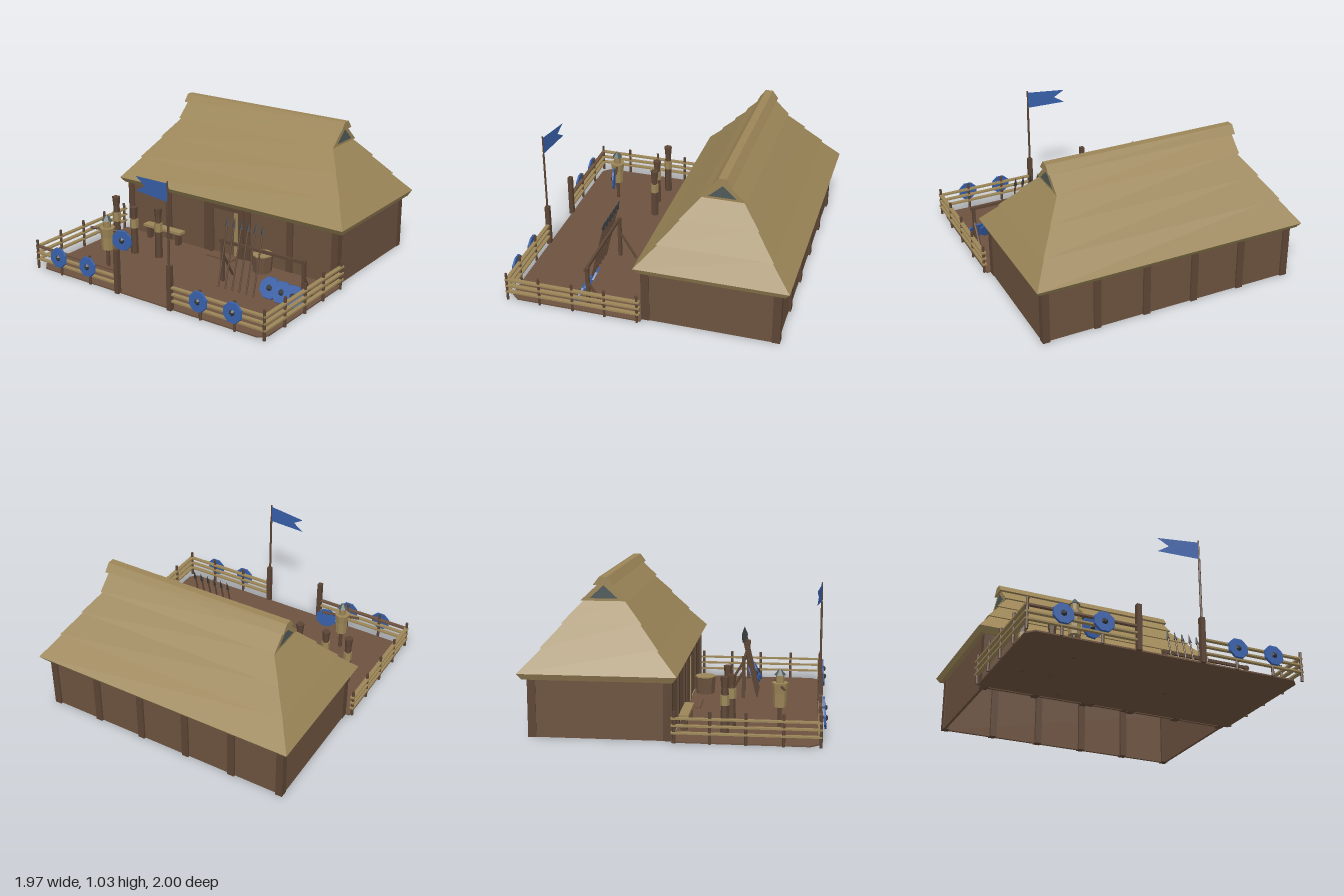
import * as THREE from 'three';

const mat = (name, color) => Object.assign(new THREE.MeshStandardMaterial({ color, flatShading: true }), { name });

export function createModel() {
  const root = new THREE.Group();
  root.name = 'fencedLonghouse';
  const thatch = mat('thatch', 0x9c8658), wall = mat('wallBrown', 0x6c523f), timber = mat('timber', 0x5c4535);
  const slate = mat('slate', 0x4f5a58), blue = mat('blue', 0x375fa8), iron = mat('iron', 0x34383b);
  blue.side = THREE.DoubleSide;

  const add = (name, geo, m, x = 0, y = 0, z = 0, parent = root) => {
    const mesh = new THREE.Mesh(geo, m);
    mesh.name = name;
    mesh.position.set(x, y, z);
    parent.add(mesh);
    return mesh;
  };
  // Box given by its lower and upper corners
  const box = (name, m, x0, x1, y0, y1, z0, z1, parent = root) =>
    add(name, new THREE.BoxGeometry(x1 - x0, y1 - y0, z1 - z0), m, (x0 + x1) / 2, (y0 + y1) / 2, (z0 + z1) / 2, parent);
  // Round bar between two points
  const rod = (name, m, a, b, r0, r1 = r0, sides = 6, parent = root) => {
    const p = new THREE.Vector3(...a), q = new THREE.Vector3(...b), d = q.clone().sub(p);
    const mesh = add(name, new THREE.CylinderGeometry(r1, r0, d.length(), sides), m, 0, 0, 0, parent);
    mesh.position.copy(p).add(q).multiplyScalar(0.5);
    mesh.quaternion.setFromUnitVectors(new THREE.Vector3(0, 1, 0), d.normalize());
    return mesh;
  };
  // Tapered block centred on the ridge line
  const tier = (name, y0, hx0, hz0, y1, hx1, hz1) => {
    const g = new THREE.BoxGeometry(2, y1 - y0, 2), p = g.attributes.position;
    for (let i = 0; i < p.count; i++) {
      const top = p.getY(i) > 0;
      p.setX(i, p.getX(i) * (top ? hx1 : hx0));
      p.setZ(i, p.getZ(i) * (top ? hz1 : hz0));
    }
    g.computeVertexNormals();
    add(name, g, thatch, 0, (y0 + y1) / 2, -0.48);
  };
  // Octagonal shield facing +z with an iron boss
  const shield = (x, y, z, r, rx = 0, ry = 0) => {
    const s = new THREE.Group();
    s.name = 'shield';
    s.position.set(x, y, z);
    s.rotation.set(rx, ry, 0);
    const disc = add('shieldFace', new THREE.CylinderGeometry(r * 0.96, r, 0.014, 8), blue, 0, 0, 0, s);
    disc.rotation.set(Math.PI / 2, Math.PI / 8, 0, 'ZXY');
    const boss = add('shieldBoss', new THREE.CylinderGeometry(0.01, 0.024, 0.014, 6), iron, 0, 0, 0.013, s);
    boss.rotation.x = Math.PI / 2;
    root.add(s);
  };

  // Yard with clipped front corners
  const yard = new THREE.Shape([[-0.96, 0], [0.96, 0], [0.96, -0.89], [0.91, -0.945], [-0.91, -0.945], [-0.96, -0.89]]
    .map(p => new THREE.Vector2(...p)).reverse());
  add('yard', new THREE.ExtrudeGeometry(yard, { depth: 0.01, bevelEnabled: false }), wall).rotation.x = -Math.PI / 2;

  // House walls, open underneath
  box('frontWall', wall, -0.92, 0.92, 0, 0.4, -0.03, -0.01);
  box('backWall', wall, -0.92, 0.92, 0, 0.4, -0.93, -0.91);
  for (const s of [-1, 1]) {
    const w = box('sideWall', wall, -0.01, 0.01, 0, 0.4, -0.93, -0.01);
    w.position.x = s * 0.915;
  }
  // Wall posts
  for (const x of [-0.905, -0.54, -0.18, 0.18, 0.54, 0.905]) {
    box('backPost', timber, x - 0.025, x + 0.025, 0, 0.4, -0.945, -0.89);
    box('frontPost', timber, x - 0.025, x + 0.025, 0, 0.4, -0.055, 0.003);
  }
  // Door with frame, step and pale plank
  box('door', wall, -0.11, 0.11, 0.015, 0.36, -0.035, 0.004);
  for (const s of [-1, 1]) box('doorJamb', timber, s * 0.13 - 0.02, s * 0.13 + 0.02, 0, 0.38, -0.04, 0.012);
  box('doorLintel', timber, -0.15, 0.15, 0.36, 0.39, -0.04, 0.012);
  box('doorPlank', thatch, 0.075, 0.105, 0.015, 0.355, 0.004, 0.012);
  box('doorStep', wall, -0.11, 0.11, 0, 0.022, 0, 0.1);

  // Layered thatch roof
  tier('eave', 0.39, 0.96, 0.49, 0.43, 0.98, 0.52);
  tier('lowerThatch', 0.43, 0.98, 0.52, 0.585, 0.865, 0.372);
  tier('middleThatch', 0.58, 0.88, 0.39, 0.735, 0.76, 0.25);
  tier('upperThatch', 0.73, 0.775, 0.267, 0.872, 0.665, 0.135);
  tier('gableThatch', 0.868, 0.68, 0.156, 0.977, 0.68, 0.04);
  tier('ridgeCap', 0.975, 0.695, 0.068, 1.03, 0.695, 0.026);
  const gable = new THREE.Shape([[-0.095, 0.885], [0.095, 0.885], [0, 0.972]].map(p => new THREE.Vector2(...p)));
  for (const s of [-1, 1])
    add('gableOpening', new THREE.ShapeGeometry(gable), slate, s * 0.682, 0, -0.48).rotation.y = s * Math.PI / 2;

  // Fence: sides, front sections and posts
  const rails = [0.07, 0.118, 0.165];
  for (const s of [-1, 1]) {
    for (const y of rails) {
      const side = box('sideRail', thatch, -0.015, 0.015, y - 0.006, y + 0.006, 0, 0.96);
      side.position.x = s * 0.97;
      const front = box('frontRail', s < 0 && y > 0.16 ? wall : thatch, -0.375, 0.375, y - 0.006, y + 0.006, 0.937, 0.964);
      front.position.x = s * 0.605;
    }
    for (const z of [0.02, 0.25, 0.48, 0.72, 0.955])
      rod('fencePost', timber, [s * 0.97, 0, z], [s * 0.97, 0.212, z], 0.01);
    for (const x of [0.475, 0.745]) {
      rod('fencePost', timber, [s * x, 0, 0.953], [s * x, 0.212, 0.953], 0.01);
      shield(s * x, 0.138, 0.978, 0.075, -0.08);
    }
    box('gatePost', timber, s * 0.227 - 0.017, s * 0.227 + 0.017, 0, 0.318, 0.935, 0.968);
  }

  // Flag
  rod('flagPole', timber, [0.225, 0.3, 0.953], [0.225, 0.75, 0.953], 0.008);
  rod('flagPoleTip', timber, [0.225, 0.75, 0.953], [0.225, 0.892, 0.953], 0.005);
  const flag = new THREE.Shape([[0, 0.878], [-0.29, 0.862], [-0.21, 0.812], [-0.29, 0.762], [0, 0.752]]
    .map(p => new THREE.Vector2(...p)));
  add('flag', new THREE.ShapeGeometry(flag), blue, 0.222, 0, 0.953).rotation.y = -0.12;

  // Practice posts with a pale wrap
  for (const [x, z, h] of [[-0.77, 0.33, 0.4], [-0.575, 0.36, 0.37], [-0.38, 0.32, 0.39]]) {
    rod('practicePost', timber, [x, 0, z], [x, h - 0.07, z], 0.03, 0.024);
    rod('practicePostHead', timber, [x, h - 0.07, z], [x, h, z], 0.024, 0.031);
    rod('practicePostWrap', thatch, [x, 0.21, z], [x, 0.28, z], 0.031, 0.031);
  }

  // Straw dummy with helmet and shield
  const dx = -0.55, dz = 0.68;
  rod('dummyPole', timber, [dx, 0, dz], [dx, 0.36, dz], 0.014);
  rod('dummyBody', thatch, [dx, 0.155, dz], [dx, 0.25, dz], 0.042, 0.046, 8);
  rod('dummyChest', thatch, [dx, 0.25, dz], [dx, 0.32, dz], 0.046, 0.056, 8);
  rod('dummyHead', thatch, [dx, 0.32, dz], [dx, 0.38, dz], 0.028, 0.03, 8);
  rod('dummyHelmet', slate, [dx, 0.372, dz], [dx, 0.415, dz], 0.04, 0.004);
  rod('dummyArms', timber, [-0.675, 0.3, 0.712], [-0.4, 0.3, 0.645], 0.01);
  shield(-0.425, 0.243, 0.67, 0.08, 0, 0.24);

  // Bench by the wall
  box('benchSeat', thatch, -0.72, -0.37, 0.1, 0.12, 0.02, 0.085);
  for (const x of [-0.68, -0.41]) box('benchLeg', timber, x - 0.015, x + 0.015, 0, 0.1, 0.03, 0.075);

  // Barrel
  rod('barrel', wall, [0.375, 0, 0.09], [0.375, 0.138, 0.09], 0.068, 0.078, 8);
  rod('barrelLid', thatch, [0.375, 0.136, 0.09], [0.375, 0.144, 0.09], 0.078, 0.078, 8);

  // Spear rack
  for (const x of [0.245, 0.9]) {
    box('rackPost', timber, x - 0.011, x + 0.011, 0, 0.325, 0.375, 0.4);
    rod('rackBrace', timber, [x, 0.2, 0.38], [x, 0.005, 0.262], 0.01);
  }
  box('rackBar', timber, 0.225, 0.92, 0.3, 0.32, 0.385, 0.403);
  for (let i = 0; i < 6; i++) {
    const x = 0.28 + i * 0.058;
    rod('spearShaft', timber, [x, 0.005, 0.49], [x, 0.435, 0.385], 0.006);
    rod('spearHead', iron, [x, 0.425, 0.387], [x, 0.492, 0.371], 0.014, 0.001, 4);
  }
  // Shields leaning beside the spears
  for (const [x, z] of [[0.665, 0.435], [0.77, 0.45], [0.865, 0.46]]) shield(x, 0.083, z, 0.08, -0.45, 0.06);

  return root;
}
